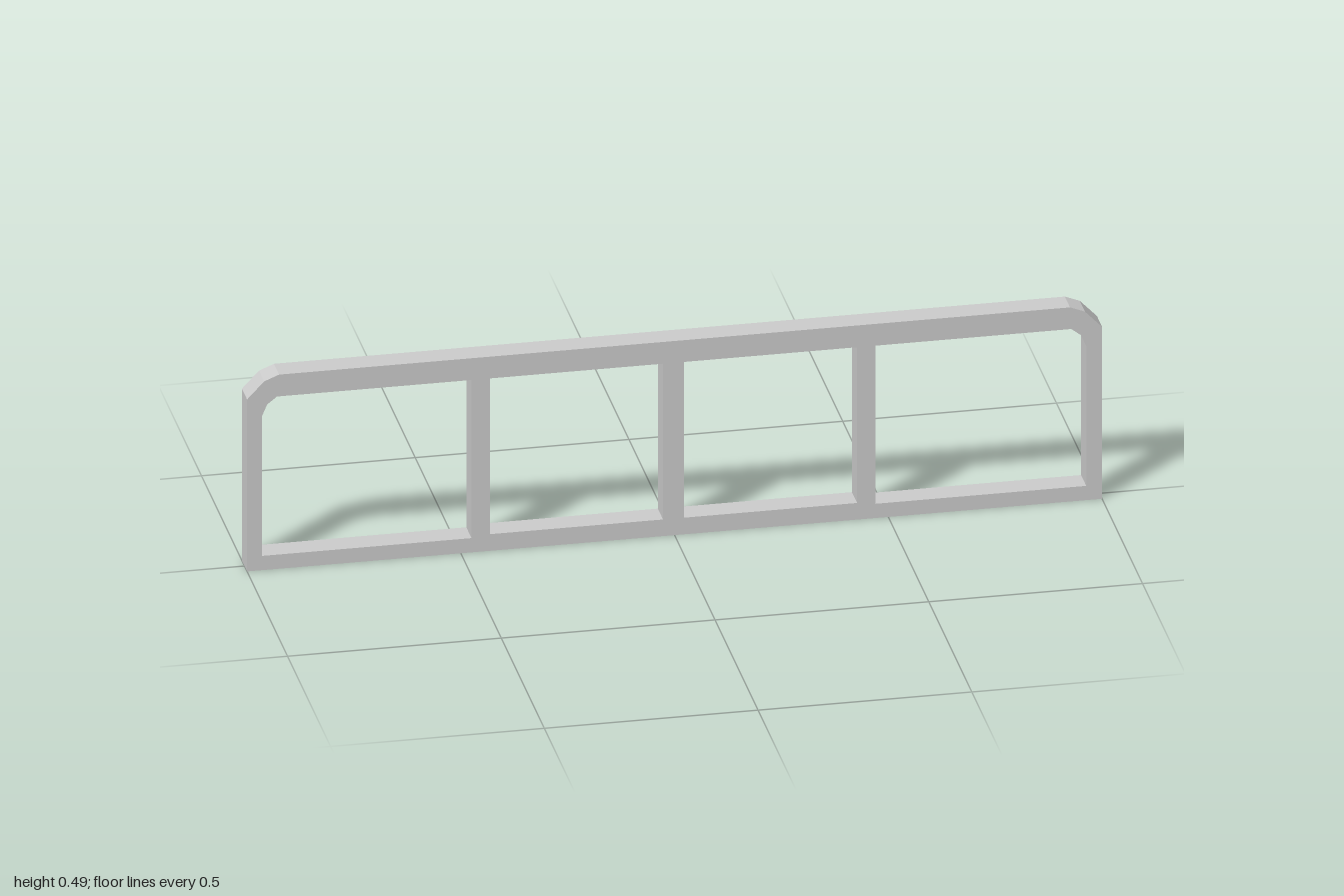
import * as THREE from 'three';

const DEPTH = 0.06;

function toPath(PathClass, points) {
  const path = new PathClass(points.map(([x, y]) => new THREE.Vector2(x, y)));
  path.closePath();
  return path;
}

export function createModel() {
  const group = new THREE.Group();
  group.name = 'windowFrame';

  // Outer outline with two-step chamfers on the upper corners
  const outline = toPath(THREE.Shape, [
    [-1, 0], [1, 0], [1, 0.435], [0.96, 0.477], [0.925, 0.491],
    [-0.925, 0.491], [-0.96, 0.477], [-1, 0.435],
  ]);

  // End openings, each with its outer upper corner chamfered
  for (const [side, post, edge] of [[-1, 0.475, 0.965], [1, 0.47, 0.963]]) {
    const points = [
      [post, 0.036], [edge, 0.036], [edge, 0.39], [edge - 0.012, 0.418],
      [edge - 0.035, 0.436], [post, 0.436],
    ];
    outline.holes.push(toPath(THREE.Path, points.map(([x, y]) => [side * x, y])));
  }

  // Two rectangular middle openings
  for (const [x0, x1] of [[-0.432, -0.027], [0.022, 0.427]]) {
    outline.holes.push(toPath(THREE.Path, [[x0, 0.042], [x1, 0.042], [x1, 0.436], [x0, 0.436]]));
  }

  const geometry = new THREE.ExtrudeGeometry(outline, { depth: DEPTH, bevelEnabled: false });
  geometry.translate(0, 0, -DEPTH / 2);

  const frame = new THREE.Mesh(
    geometry,
    new THREE.MeshStandardMaterial({ color: 0xcccccc, flatShading: true }),
  );
  frame.name = 'frame';
  group.add(frame);
  return group;
}
